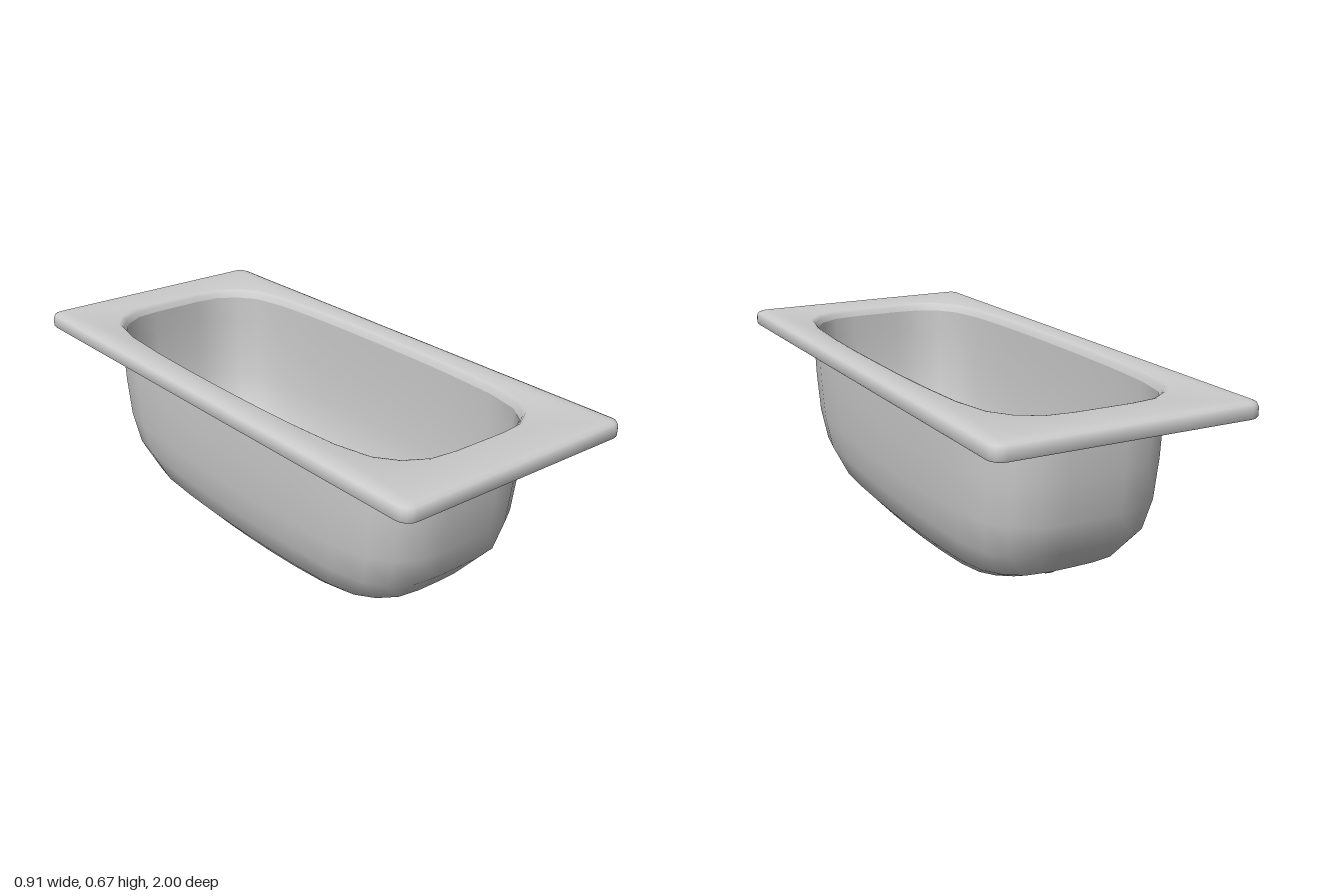
import * as THREE from 'three';
import { toCreasedNormals } from 'three/addons/utils/BufferGeometryUtils.js';

const HALF_W = 0.457, HALF_D = 1;
const OUTER = [0.363, 0.823], INNER = [0.35, 0.81], OPENING = [0.364, 0.825];

// Quarter of the basin plan, as fractions of half width and half length
const PLAN = [[0, 1], [0.27, 1], [0.52, 0.987], [0.725, 0.933], [0.865, 0.848],
  [0.945, 0.69], [0.982, 0.45], [0.997, 0.22], [1, 0]];

// Basin profile: [fraction of full plan, height], from the floor up
const PROFILE = [[0, 0], [0.26, 0.004], [0.48, 0.015], [0.68, 0.045], [0.832, 0.105],
  [0.933, 0.2], [0.975, 0.31], [0.994, 0.45], [1, 0.55], [1, 0.645]];

// Mirror a quarter outline (front centre to left centre) into a full loop
function fullLoop(q, y) {
  const n = q.length - 1, back = [...q].reverse();
  return [
    ...q.slice(0, n),
    ...back.slice(0, n).map(([x, z]) => [x, -z]),
    ...q.slice(0, n).map(([x, z]) => [-x, -z]),
    ...back.slice(0, n).map(([x, z]) => [-x, z]),
  ].map(([x, z]) => [x, y, z]);
}

// Basin section: the plan grows rounder towards the floor
function basinRing([w, d], s, y) {
  const k = 0.4 * (1 - s);
  return fullLoop(PLAN.map(([a, b]) => {
    const f = s / Math.pow(Math.hypot(a, b), k);
    return [a * w * f, b * d * f];
  }), y);
}

// Rounded rectangle section of the rim
function rimRing(inset, y) {
  const w = HALF_W - inset, d = HALF_D - inset, r = Math.max(0.045 - inset, 0.012);
  const q = [[0, d], [0.2, d]];
  for (let i = 0; i <= 4; i++) {
    const a = (i / 4) * Math.PI / 2;
    q.push([w - r + r * Math.sin(a), d - r + r * Math.cos(a)]);
  }
  q.push([w, 0.5], [w, 0]);
  return fullLoop(q, y);
}

// Skin a sequence of loops
function loft(name, rings, material) {
  const n = rings[0].length, index = [];
  for (let i = 0; i < rings.length - 1; i++) {
    for (let j = 0; j < n; j++) {
      const k = (j + 1) % n;
      const a = i * n + j, b = a + n, c = (i + 1) * n + k, d = i * n + k;
      index.push(a, b, c, a, c, d);
    }
  }
  const geo = new THREE.BufferGeometry();
  geo.setAttribute('position', new THREE.Float32BufferAttribute(rings.flat(2), 3));
  geo.setIndex(index);
  const mesh = new THREE.Mesh(toCreasedNormals(geo, 0.75), material);
  mesh.name = name;
  return mesh;
}

export function createModel() {
  const group = new THREE.Group();
  group.name = 'bathtub';
  const material = new THREE.MeshStandardMaterial({ color: 0xcccccc, side: THREE.DoubleSide });

  // Inside of the basin, floor to opening
  const inside = PROFILE.map(([s, y]) => basinRing(INNER, s, 0.016 + y * 0.965));
  group.add(loft('basinInside', inside, material));

  // Rim: opening edge, flat top, rounded edge, hanging lip and recessed underside
  group.add(loft('rim', [
    basinRing(INNER, 1, 0.016 + 0.645 * 0.965),
    basinRing([0.357, 0.818], 1, 0.655),
    basinRing(OPENING, 1, 0.664),
    basinRing([0.372, 0.835], 1, 0.667),
    rimRing(0.045, 0.668),
    rimRing(0.02, 0.666),
    rimRing(0.006, 0.66),
    rimRing(0, 0.648),
    rimRing(0, 0.62),
    rimRing(0.003, 0.615),
    rimRing(0.014, 0.615),
    rimRing(0.016, 0.645),
    basinRing(OUTER, 1, 0.645),
  ], material));

  // Outside of the basin, rim to floor
  const outside = PROFILE.map(([s, y]) => basinRing(OUTER, s, y)).reverse();
  group.add(loft('basinOutside', outside, material));

  // Domed drain plug, lying along the sloping floor
  const drain = new THREE.Mesh(new THREE.SphereGeometry(0.038, 24, 16), material);
  drain.name = 'drainPlug';
  drain.scale.y = 0.5;
  drain.rotation.x = 0.18;
  drain.position.set(0, 0.05, -0.54);
  group.add(drain);

  return group;
}
